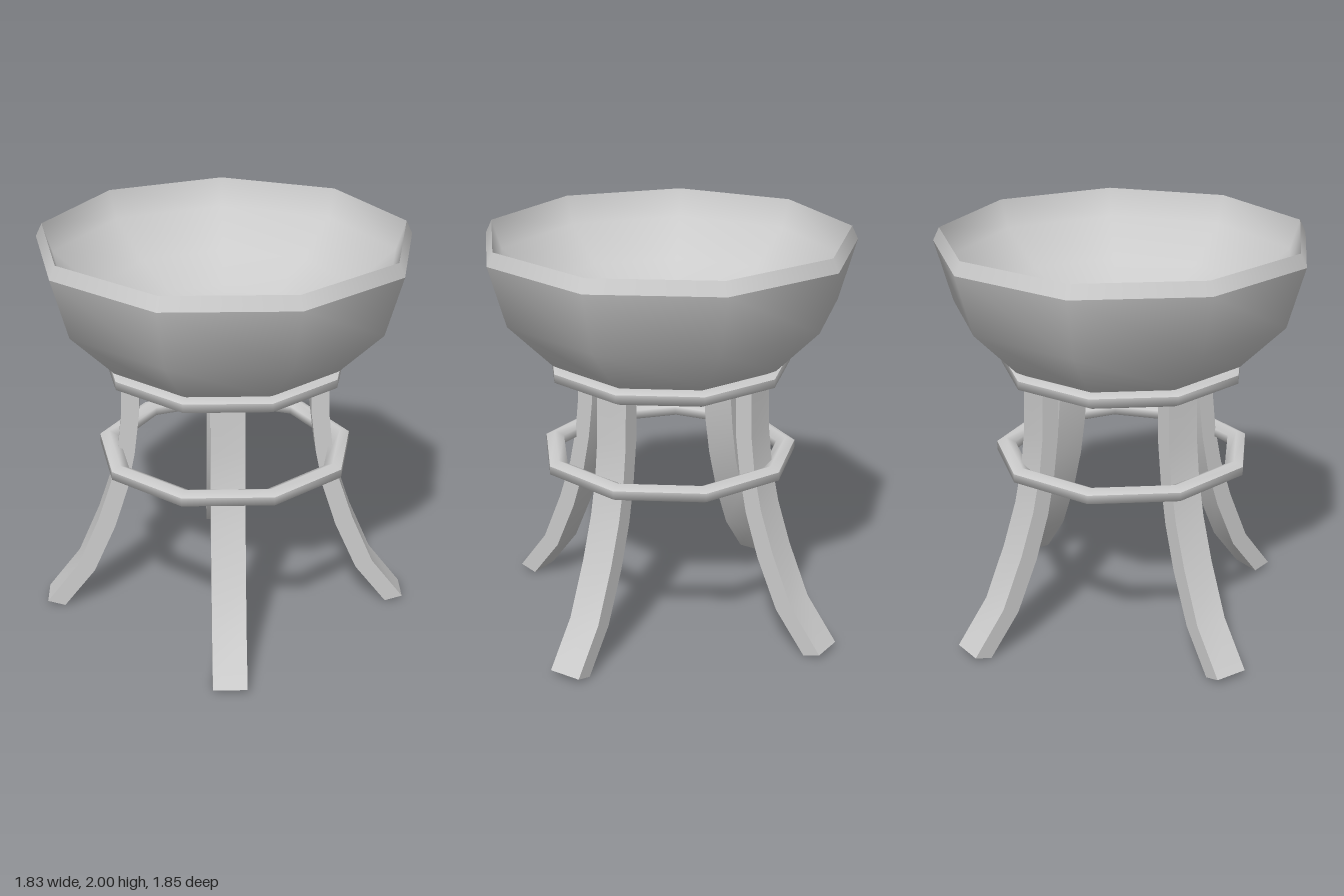
import * as THREE from 'three';
import { toCreasedNormals } from 'three/addons/utils/BufferGeometryUtils.js';

const material = new THREE.MeshStandardMaterial({ color: 0xcccccc });
const SIDES = 9;
const TURN = THREE.MathUtils.degToRad(84.8);

// Nine-sided turned part from [radius, height] points
function turned(name, points) {
  const profile = points.map(([r, y]) => new THREE.Vector2(r, y));
  const mesh = new THREE.Mesh(new THREE.LatheGeometry(profile, SIDES, TURN), material);
  mesh.name = name;
  return mesh;
}

// Hoop with a six-sided section, slightly wider than tall, flat sides upright
function hoop(name, radius, y) {
  const section = [];
  for (let i = 0; i <= 6; i++) {
    const a = Math.PI / 6 + (i * Math.PI) / 3;
    section.push([radius + 0.054 * Math.cos(a), y + 0.042 * Math.sin(a)]);
  }
  return turned(name, section);
}

// Curved leg: side outline extruded to the leg width
function legGeometry() {
  const width = 0.165;
  const outer = [[0.92, 0.026], [0.756, 0.24], [0.645, 0.5], [0.575, 0.71], [0.534, 0.9], [0.514, 1.08], [0.508, 1.34]];
  const inner = [[0.422, 1.34], [0.426, 1.08], [0.452, 0.87], [0.49, 0.68], [0.56, 0.46], [0.672, 0.205], [0.832, 0]];
  const shape = new THREE.Shape([...inner, ...outer].map(([r, y]) => new THREE.Vector2(r, y)));
  const geometry = new THREE.ExtrudeGeometry(shape, { depth: width, bevelEnabled: false });
  geometry.translate(0, 0, -width / 2);
  return toCreasedNormals(geometry, 0.6);
}

export function createModel() {
  const model = new THREE.Group();
  model.name = 'bowlOnStand';

  // Bowl: outside, bevelled rim and dished inside, kept apart for crisp rim edges
  const bowl = new THREE.Group();
  bowl.name = 'bowl';
  bowl.add(
    turned('bowlOutside', [[0, 1.225], [0.33, 1.265], [0.612, 1.41], [0.836, 1.635], [0.924, 1.935]]),
    turned('bowlRim', [[0.924, 1.935], [0.893, 2]]),
    turned('bowlInside', [[0.893, 2], [0.845, 1.86], [0.64, 1.69], [0.43, 1.58], [0.21, 1.515], [0, 1.495]])
  );

  // Hoops that hold the bowl and brace the legs
  const hoops = new THREE.Group();
  hoops.name = 'hoops';
  hoops.add(hoop('upperHoop', 0.559, 1.345), hoop('lowerHoop', 0.594, 0.877));
  for (const part of [bowl, hoops]) part.position.set(-0.008, 0, 0.003);

  // Four legs flaring outwards
  const legs = new THREE.Group();
  legs.name = 'legs';
  legs.position.set(-0.005, 0, -0.013);
  const geometry = legGeometry();
  for (let i = 0; i < 4; i++) {
    const leg = new THREE.Mesh(geometry, material);
    leg.name = 'leg' + (i + 1);
    leg.rotation.y = -THREE.MathUtils.degToRad(14.9 + i * 90);
    legs.add(leg);
  }

  model.add(bowl, hoops, legs);
  return model;
}
